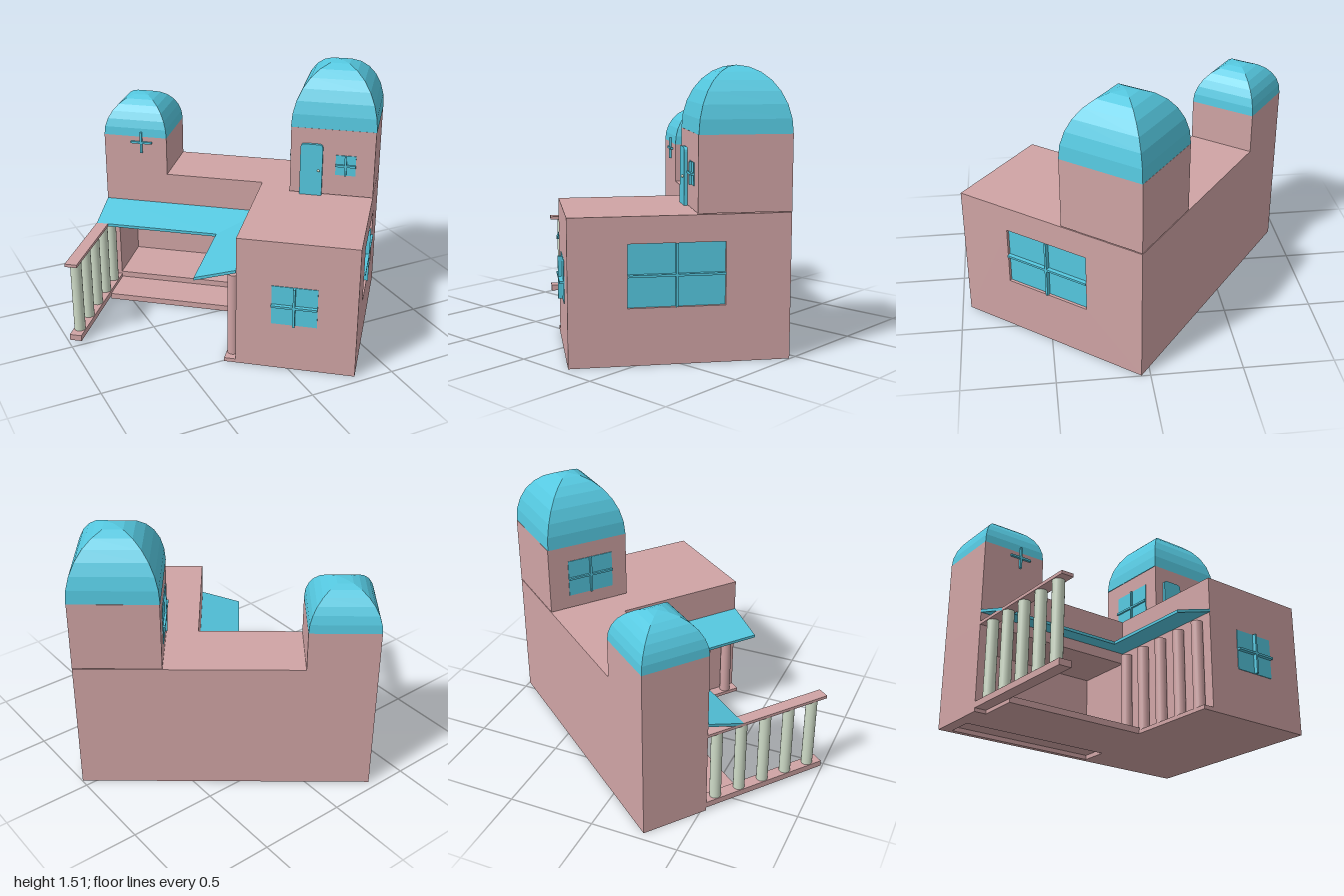
import * as THREE from 'three';

const mat = (color) => new THREE.MeshStandardMaterial({ color, flatShading: true, side: THREE.DoubleSide });
const pink = mat(0xd0a4a5), teal = mat(0x55c8e0);
const stone = new THREE.MeshStandardMaterial({ color: 0xcfdcc8 });
const pinkRound = new THREE.MeshStandardMaterial({ color: 0xd0a4a5 });

function add(parent, name, geometry, material, x = 0, y = 0, z = 0) {
  const m = new THREE.Mesh(geometry, material);
  m.name = name;
  m.position.set(x, y, z);
  parent.add(m);
  return m;
}

// Box from its limits along each axis
function box(parent, name, x0, x1, y0, y1, z0, z1, material = pink) {
  return add(parent, name, new THREE.BoxGeometry(x1 - x0, y1 - y0, z1 - z0), material,
    (x0 + x1) / 2, (y0 + y1) / 2, (z0 + z1) / 2);
}

// Four-sided vaulted dome with a rounded profile
function dome(parent, name, x, y, z, half, height) {
  const pts = [];
  for (let i = 0; i <= 7; i++) {
    const t = (i / 7) * Math.PI / 2;
    pts.push(new THREE.Vector2(i === 7 ? 0 : half * Math.SQRT2 * Math.cos(t), height * Math.sin(t)));
  }
  add(parent, name, new THREE.LatheGeometry(pts, 4, Math.PI / 4), teal, x, y, z);
}

// Window facing local +z: optional thin pane plus crossed glazing bars
function windowUnit(parent, name, w, h, depth, x, y, z, turn, pane = true) {
  const g = new THREE.Group();
  g.name = name;
  g.position.set(x, y, z);
  g.rotation.y = turn;
  if (pane) box(g, 'pane', -w / 2, w / 2, -h / 2, h / 2, -0.01, 0.004, teal);
  box(g, 'verticalBar', -0.006, 0.006, -h / 2, h / 2, 0, depth, teal);
  box(g, 'horizontalBar', -w / 2, w / 2, -0.006, 0.006, 0, depth, teal);
  parent.add(g);
}

// Row of five columns along z
function columnRow(parent, name, x, y0, y1, material) {
  const geo = new THREE.CylinderGeometry(0.032, 0.032, y1 - y0, 20);
  for (let i = 0; i < 5; i++) add(parent, name, geo, material, x, (y0 + y1) / 2, 0.4615 + 0.153 * i);
}

// Sloping awning that turns the inner corner: four-point section at three stations
function awning() {
  const stations = [[0, 0.385, 0, 0.606], [0.97, 0.385, 0.738, 0.606], [0.97, 1.15, 0.738, 1.15]];
  const rings = stations.map(([ix, iz, ox, oz]) => [
    [ix, 0.58, iz], [ox, 0.51, oz], [ox, 0.493, oz], [ix, 0.563, iz]]);
  const v = [];
  const quad = (a, b, c, d) => v.push(...a, ...b, ...c, ...a, ...c, ...d);
  for (let s = 0; s < 2; s++) {
    for (let k = 0; k < 4; k++) {
      const n = (k + 1) % 4;
      quad(rings[s][k], rings[s][n], rings[s + 1][n], rings[s + 1][k]);
    }
  }
  quad(...[...rings[0]].reverse());
  quad(...rings[2]);
  const g = new THREE.BufferGeometry();
  g.setAttribute('position', new THREE.Float32BufferAttribute(v, 3));
  g.computeVertexNormals();
  return g;
}

export function createModel() {
  const root = new THREE.Group();
  root.name = 'house';
  // The L-shaped plan is laid out square, then turned on the ground
  const house = new THREE.Group();
  house.name = 'building';
  house.rotation.y = THREE.MathUtils.degToRad(-38);
  house.position.set(-0.288, 0, -0.955);
  root.add(house);

  // Front wing with a recessed window opening in its outer wall
  box(house, 'frontWing', 0.97, 1.61, 0, 0.77, 0, 1.147);
  const wall = new THREE.Shape([[-1.147, 0], [0, 0], [0, 0.77], [-1.147, 0.77]]
    .map(([x, y]) => new THREE.Vector2(x, y)));
  wall.holes.push(new THREE.Path([[-0.845, 0.3], [-0.845, 0.63], [-0.34, 0.63], [-0.34, 0.3]]
    .map(([x, y]) => new THREE.Vector2(x, y))));
  const side = add(house, 'sideWall',
    new THREE.ExtrudeGeometry(wall, { depth: 0.02, bevelEnabled: false }), pink, 1.61, 0, 0);
  side.rotation.y = Math.PI / 2;
  windowUnit(house, 'sideWindow', 0.505, 0.33, 0.028, 1.61, 0.465, 0.5925, Math.PI / 2);
  windowUnit(house, 'frontWindow', 0.25, 0.23, 0.026, 1.29, 0.395, 1.147, 0);

  // Back wing, open toward the porch on the ground floor
  box(house, 'backWingUpper', 0, 0.97, 0.5, 0.77, 0, 0.385);
  box(house, 'backWall', 0, 0.97, 0, 0.5, 0, 0.03);
  box(house, 'endWall', 0, 0.068, 0, 0.5, 0.03, 0.385);
  box(house, 'backWingFloor', 0.068, 0.97, 0.025, 0.07, 0.03, 0.385);

  // Porch slab, wall base and wall columns
  box(house, 'porchSlab', 0.068, 0.97, 0, 0.035, 0.19, 0.615);
  box(house, 'wallBase', 0.905, 0.97, 0, 0.022, 0.615, 1.147);
  columnRow(house, 'wallColumn', 0.94, 0.02, 0.52, pinkRound);
  add(house, 'awning', awning(), teal);

  // Colonnade with bottom and top rails
  box(house, 'bottomRail', 0, 0.07, 0.02, 0.055, 0.385, 1.15);
  box(house, 'topRail', 0, 0.07, 0.492, 0.51, 0.385, 1.15);
  columnRow(house, 'railColumn', 0.035, 0.055, 0.492, stone);

  // Small tower
  box(house, 'smallTower', 0, 0.385, 0.77, 1.0, 0, 0.385);
  dome(house, 'smallDome', 0.1925, 1.0, 0.1925, 0.1925, 0.22);
  windowUnit(house, 'smallTowerCross', 0.13, 0.13, 0.014, 0.23, 0.965, 0.385, 0, false);

  // Big tower
  box(house, 'bigTower', 1.15, 1.63, 0.775, 1.17, 0, 0.487);
  dome(house, 'bigDome', 1.39, 1.17, 0.2435, 0.2425, 0.34);
  windowUnit(house, 'towerFrontWindow', 0.115, 0.12, 0.018, 1.467, 0.96, 0.487, 0);
  windowUnit(house, 'towerInnerWindow', 0.275, 0.22, 0.016, 1.15, 0.965, 0.256, -Math.PI / 2);

  // Rounded-top tower door with knob
  const w = 0.064, h = 0.31, r = 0.025;
  const door = new THREE.Shape();
  door.moveTo(-w, 0);
  door.lineTo(w, 0);
  door.lineTo(w, h - r);
  door.quadraticCurveTo(w, h, w - r, h);
  door.lineTo(-w + r, h);
  door.quadraticCurveTo(-w, h, -w, h - r);
  add(house, 'towerDoor', new THREE.ExtrudeGeometry(door, { depth: 0.02, bevelEnabled: false, curveSegments: 5 }),
    teal, 1.272, 0.77, 0.485);
  add(house, 'doorKnob', new THREE.SphereGeometry(0.008, 12, 8), stone, 1.315, 0.925, 0.511);

  return root;
}
